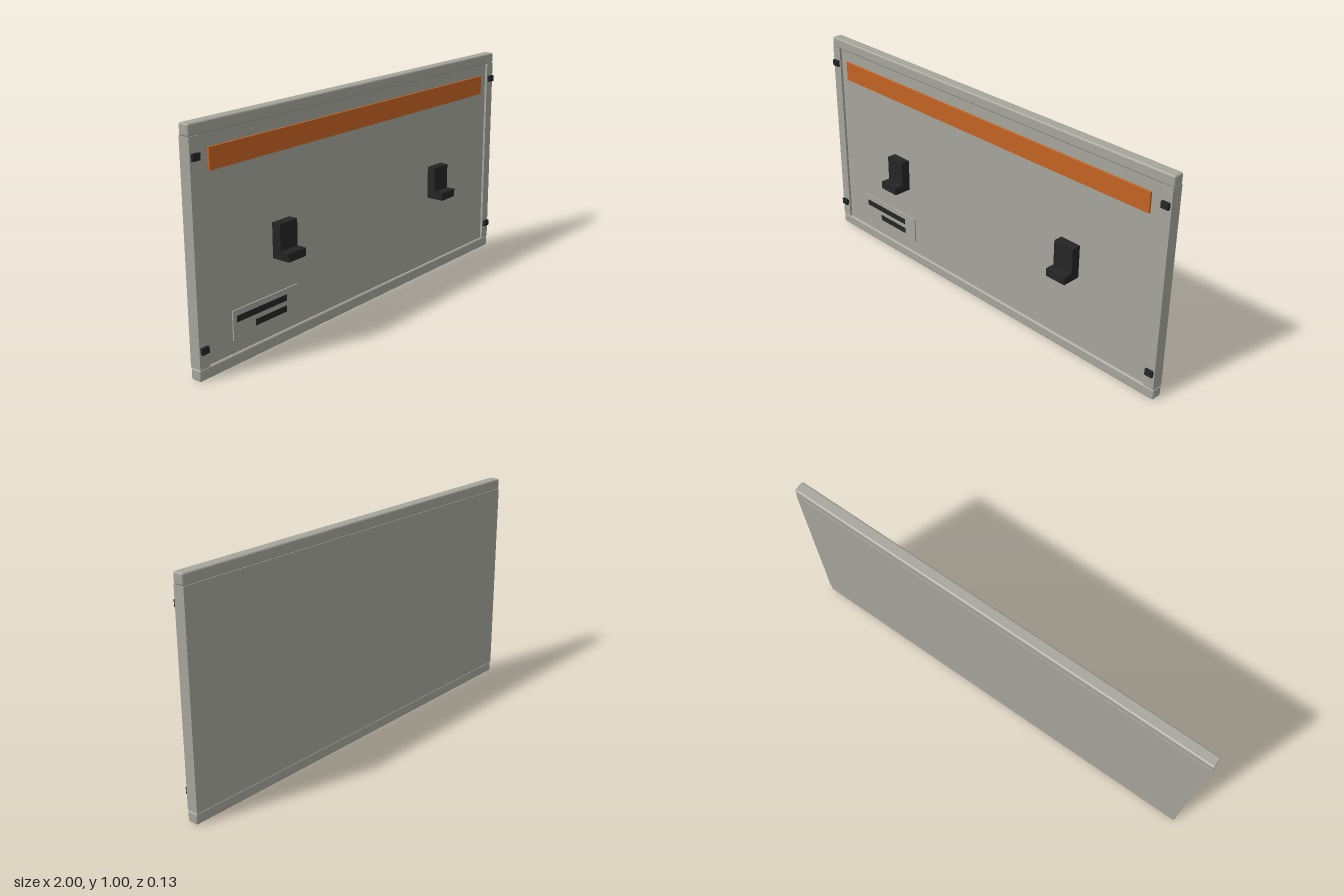
import * as THREE from 'three';
import { RoundedBoxGeometry } from 'three/addons/geometries/RoundedBoxGeometry.js';

const grey = new THREE.MeshStandardMaterial({ name: 'warmGrey', color: 0xa5a59c });
const orange = new THREE.MeshStandardMaterial({ name: 'orange', color: 0xc46323 });
const black = new THREE.MeshStandardMaterial({ name: 'softBlack', color: 0x242424 });

const BACK = -0.063, PANEL = -0.022, FRAME = -0.011;

// Box given by its limits on each axis
function box(name, material, [x0, x1], [y0, y1], [z0, z1]) {
  const mesh = new THREE.Mesh(new THREE.BoxGeometry(x1 - x0, y1 - y0, z1 - z0), material);
  mesh.position.set((x0 + x1) / 2, (y0 + y1) / 2, (z0 + z1) / 2);
  mesh.name = name;
  return mesh;
}

export function createModel() {
  const model = new THREE.Group();
  model.name = 'wallPanel';

  // Recessed main sheet
  model.add(box('panel', grey, [-0.95, 0.95], [0.05, 0.953], [BACK, PANEL]));

  // Rounded rails along the top and bottom
  for (const [name, y] of [['topRail', 0.976], ['bottomRail', 0.0255]]) {
    const rail = new THREE.Mesh(new RoundedBoxGeometry(2, 0.049, 0.051, 3, 0.008), grey);
    rail.position.set(0, y, -0.0365);
    rail.name = name;
    model.add(rail);
  }

  // Side posts, corner clips and hooks, mirrored left and right
  for (const [side, s] of [['left', 1], ['right', -1]]) {
    const span = (a, b) => (s > 0 ? [a, b] : [-b, -a]);
    model.add(box(side + 'Post', grey, span(0.95, 0.998), [0.05, 0.953], [BACK, FRAME]));
    for (const y of [0.127, 0.877]) {
      model.add(box(side + 'Clip', black, span(0.957, 0.992), [y - 0.014, y + 0.014], [FRAME - 0.005, 0.001]));
    }
    const hook = new THREE.Group();
    hook.name = side + 'Hook';
    const x = s > 0 ? [0.475, 0.575] : [-0.579, -0.479];
    hook.add(
      box('hookPlate', black, x, [0.378, 0.528], [PANEL, 0.02]),
      box('hookLip', black, x, [0.378, 0.414], [0.02, 0.063])
    );
    model.add(hook);
  }

  // Coloured band and label with two printed bars
  model.add(
    box('orangeBand', orange, [-0.903, 0.9], [0.81, 0.898], [PANEL, PANEL + 0.009]),
    box('labelPlate', grey, [-0.814, -0.444], [0.104, 0.229], [PANEL, PANEL + 0.006]),
    box('labelBarLong', black, [-0.794, -0.515], [0.178, 0.204], [PANEL + 0.005, PANEL + 0.009]),
    box('labelBarShort', black, [-0.693, -0.515], [0.13, 0.156], [PANEL + 0.005, PANEL + 0.009])
  );
  return model;
}
